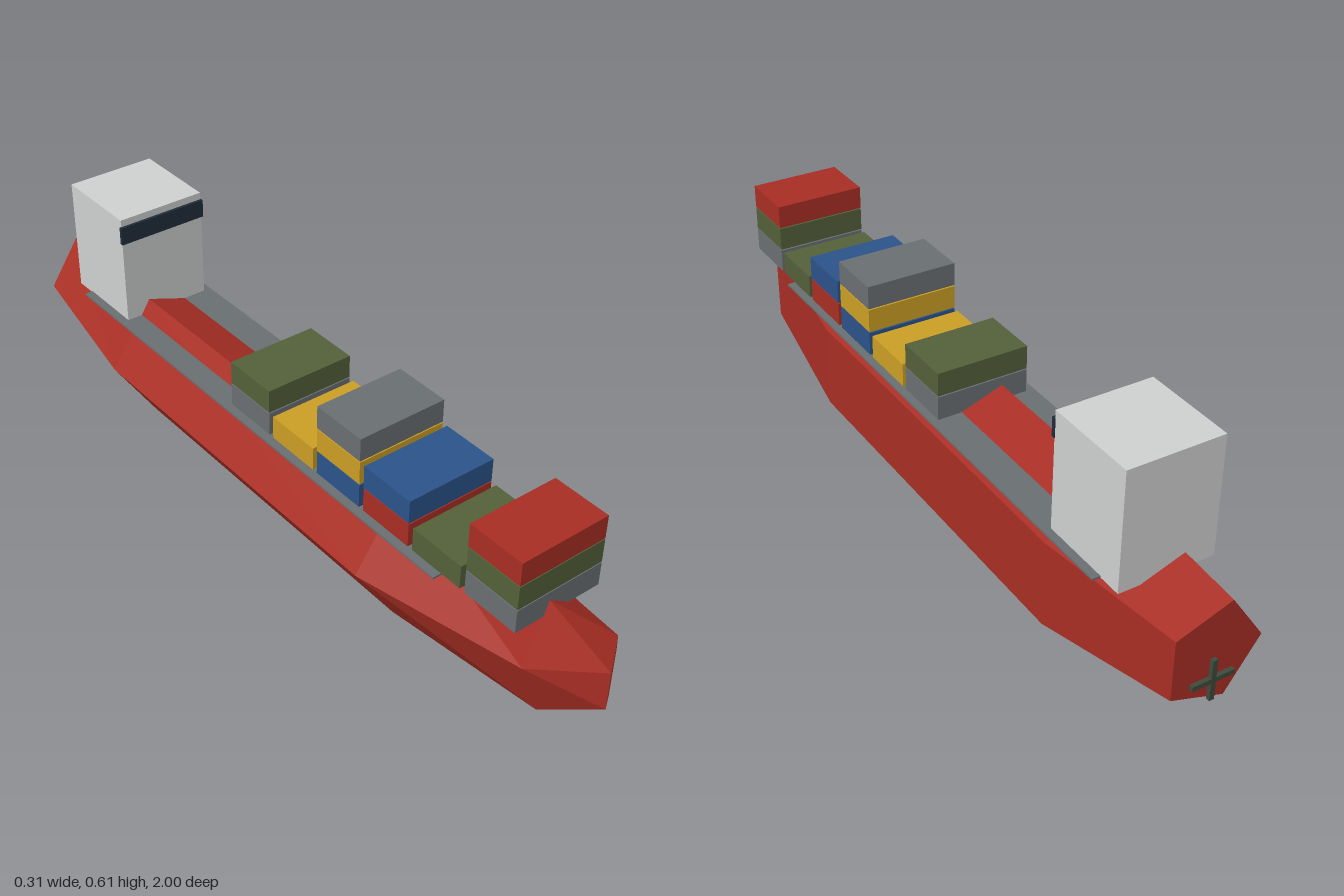
import * as THREE from 'three';

const mat = (name, color, opts = {}) => new THREE.MeshStandardMaterial({ name, color, ...opts });

export function createModel() {
  const ship = new THREE.Group();
  ship.name = 'containerShip';
  const red = mat('red', 0xa82e24), grey = mat('grey', 0x6a6f72), green = mat('green', 0x54603a);
  const blue = mat('blue', 0x2c538a), yellow = mat('yellow', 0xcb9e24), white = mat('white', 0xcfd1d0);
  const glass = mat('glass', 0x212d3d), propMetal = mat('propellerMetal', 0x3f4a3c);
  const CX = 0.015;

  function box(name, material, w, h, d, x, y, z, parent = ship) {
    const m = new THREE.Mesh(new THREE.BoxGeometry(w, h, d), material);
    m.name = name;
    m.position.set(x, y, z);
    parent.add(m);
    return m;
  }

  // Hull: five-sided rings lofted from bow to stern [z, centre y, radius x, radius y]
  const stations = [
    [1, 0.263, 0.002, 0.11],
    [0.84, 0.197, 0.085, 0.167],
    [0.4, 0.18, 0.168, 0.186],
    [-0.6, 0.18, 0.168, 0.186],
    [-0.99, 0.227, 0.12, 0.128],
  ];
  const N = 5, pos = [], idx = [];
  for (const [z, cy, rx, ry] of stations) {
    for (let j = 0; j < N; j++) {
      const a = Math.PI * (0.2 + 0.4 * j);
      pos.push(CX + rx * Math.cos(a), cy + ry * Math.sin(a), z);
    }
  }
  const last = (stations.length - 1) * N;
  for (let i = 0; i < last; i += N) {
    for (let j = 0; j < N; j++) {
      const k = (j + 1) % N;
      idx.push(i + j, i + N + j, i + k, i + N + j, i + N + k, i + k);
    }
  }
  // Bow and stern caps
  for (let j = 1; j < N - 1; j++) {
    idx.push(0, j, j + 1, last, last + j + 1, last + j);
  }
  let hullGeo = new THREE.BufferGeometry();
  hullGeo.setAttribute('position', new THREE.Float32BufferAttribute(pos, 3));
  hullGeo.setIndex(idx);
  hullGeo = hullGeo.toNonIndexed();
  hullGeo.computeVertexNormals();
  const hull = new THREE.Mesh(hullGeo, red);
  hull.name = 'hull';
  ship.add(hull);

  // Deck plate
  box('deck', grey, 0.278, 0.005, 1.39, 0.014, 0.3155, -0.077);

  // Container stacks, bow to stern, each listed from the bottom up
  const cargo = new THREE.Group();
  cargo.name = 'containers';
  ship.add(cargo);
  const stacks = [[grey, green, red], [green], [red, blue], [blue, yellow, grey], [yellow], [grey, green]];
  stacks.forEach((stack, i) => stack.forEach((m, level) =>
    box('container', m, 0.237, 0.06, 0.15, CX, 0.348 + level * 0.063, 0.765 - i * 0.1645, cargo)));

  // Bridge house and its window band
  box('bridgeHouse', white, 0.237, 0.296, 0.236, CX, 0.462, -0.713);
  box('bridgeWindows', glass, 0.243, 0.047, 0.009, 0.014, 0.568, -0.592);

  // Crossed propeller blades on the stern
  const propeller = new THREE.Group();
  propeller.name = 'propeller';
  ship.add(propeller);
  box('bladeVertical', propMetal, 0.012, 0.104, 0.01, CX, 0.167, -0.995, propeller);
  box('bladeHorizontal', propMetal, 0.104, 0.012, 0.01, CX, 0.167, -0.995, propeller);

  return ship;
}
